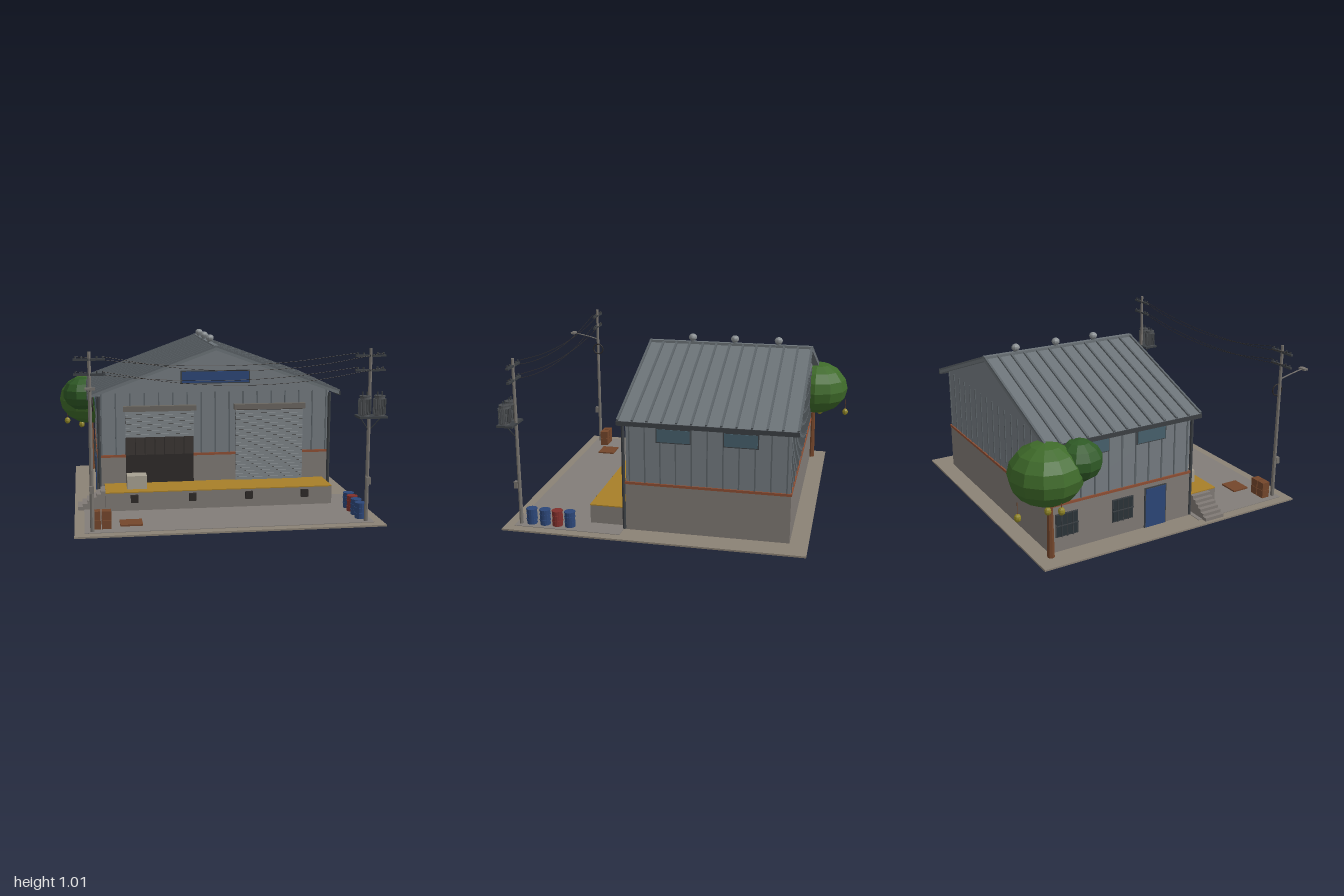
import * as THREE from 'three';

const mats = {};
const mat = (color) => (mats[color] ??= new THREE.MeshStandardMaterial({ color, flatShading: true }));
const C = {
  ground: 0x8b8275, apron: 0x827d78, plinth: 0x807a75, wall: 0x757c81, rib: 0x5c6368, roof: 0x6c7378,
  dark: 0x2e2a28, trim: 0x3c4044, band: 0x8f4f34, shutter: 0x80868a, header: 0x6a6660, glass: 0x47616d,
  blue: 0x2c4678, red: 0x80302c, yellow: 0xa87f28, wood: 0x74462b, beige: 0xa8a192, pole: 0x77736e, leaf: 0x3f6b2a,
};

// ridge position, half span of the roof and its slope
const RX = 0.045, HALF = 0.775, SLOPE = 0.365, ANG = Math.atan(SLOPE);
const ZF = 0.18, ZB = -0.743, XL = -0.672, XR = 0.762;

export function createModel() {
  const root = new THREE.Group();
  const group = (name, parent = root) => {
    const g = new THREE.Group();
    g.name = name;
    parent.add(g);
    return g;
  };
  const mesh = (name, geo, color, parent = root) => {
    const m = new THREE.Mesh(geo, mat(color));
    m.name = name;
    parent.add(m);
    return m;
  };
  // box given by its extents
  const box = (name, x0, x1, y0, y1, z0, z1, color, parent) => {
    const m = mesh(name, new THREE.BoxGeometry(x1 - x0, y1 - y0, z1 - z0), color, parent);
    m.position.set((x0 + x1) / 2, (y0 + y1) / 2, (z0 + z1) / 2);
    return m;
  };
  const cyl = (name, x, y0, y1, z, r, color, parent, sides = 12, rTop = r) => {
    const m = mesh(name, new THREE.CylinderGeometry(rTop, r, y1 - y0, sides), color, parent);
    m.position.set(x, (y0 + y1) / 2, z);
    return m;
  };
  const ball = (name, x, y, z, rx, ry, color, parent, w = 10, h = 8) => {
    const m = mesh(name, new THREE.SphereGeometry(1, w, h), color, parent);
    m.position.set(x, y, z);
    m.scale.set(rx, ry, rx);
    return m;
  };
  const tube = (name, pts, r, color, parent, seg = 12) =>
    mesh(name, new THREE.TubeGeometry(new THREE.CatmullRomCurve3(pts.map((p) => new THREE.Vector3(...p))), seg, r, 5), color, parent);
  const prism = (name, pts, z0, z1, color, parent) => {
    const shape = new THREE.Shape(pts.map((p) => new THREE.Vector2(...p)));
    const m = mesh(name, new THREE.ExtrudeGeometry(shape, { depth: z1 - z0, bevelEnabled: false }), color, parent);
    m.position.z = z0;
    return m;
  };

  // ground and yard
  box('ground', -0.82, 0.91, 0, 0.01, -0.85, 0.885, C.ground);
  box('yardSlab', -0.765, 0.855, 0.01, 0.013, 0.2, 0.83, C.apron);

  // walls
  const hall = group('hall');
  const roofY = (x) => 0.955 - Math.abs(x - RX) * SLOPE;
  const wallTop = (x) => roofY(x) - 0.02;
  box('plinth', XL - 0.004, XR + 0.004, 0.01, 0.29, ZB - 0.004, ZF + 0.004, C.plinth, hall);
  prism('cladding', [[XL, 0.28], [XR, 0.28], [XR, wallTop(XR)], [RX, wallTop(RX)], [XL, wallTop(XL)]], ZB, ZF, C.wall, hall);
  box('wallBand', XL - 0.008, XR + 0.008, 0.287, 0.302, ZB - 0.008, ZF + 0.008, C.band, hall);
  const ribs = group('wallRibs', hall);
  for (let i = 0; i <= 16; i++) {
    const x = XL + 0.02 + (i / 16) * (XR - XL - 0.04);
    box('frontRib', x - 0.004, x + 0.004, 0.302, 0.68, ZF, ZF + 0.005, C.rib, ribs);
    box('backRib', x - 0.004, x + 0.004, 0.302, 0.68, ZB - 0.005, ZB, C.rib, ribs);
  }
  for (let i = 0; i <= 10; i++) {
    const z = ZB + 0.02 + (i / 10) * (ZF - ZB - 0.04);
    box('sideRib', XR, XR + 0.005, 0.302, 0.67, z - 0.004, z + 0.004, C.rib, ribs);
    box('sideRib', XL - 0.005, XL, 0.302, 0.67, z - 0.004, z + 0.004, C.rib, ribs);
  }

  // roof
  const roof = group('roof');
  const Z0 = -0.785, Z1 = 0.215, eL = RX - HALF, eR = RX + HALF, eY = roofY(eR);
  prism('roofSheet', [[eL, eY - 0.02], [RX, 0.935], [eR, eY - 0.02], [eR, eY], [RX, 0.955], [eL, eY]], Z0, Z1, C.roof, roof);
  for (const s of [-1, 1]) {
    for (let i = 0; i <= 12; i++) {
      const r = mesh('roofRib', new THREE.BoxGeometry(HALF / Math.cos(ANG), 0.012, 0.012), C.rib, roof);
      r.position.set(RX + (s * HALF) / 2, (0.955 + eY) / 2 + 0.005, Z0 + 0.006 + (i / 12) * (Z1 - Z0 - 0.012));
      r.rotation.z = -s * ANG;
    }
    const x = RX + s * HALF;
    box('eaveTrim', x - 0.006, x + 0.006, eY - 0.025, eY, Z0, Z1, C.trim, roof);
  }
  box('ridgeCap', RX - 0.014, RX + 0.014, 0.945, 0.965, Z0, Z1, C.roof, roof);
  for (const z of [-0.58, -0.315, -0.055]) {
    cyl('ventNeck', RX, 0.95, 0.985, z, 0.014, C.roof, roof, 10);
    ball('ventHead', RX, 0.99, z, 0.025, 0.022, 0x8a8f92, roof);
  }

  // sign board with plain frame
  box('signFrame', -0.168, 0.258, 0.732, 0.812, ZF, 0.192, C.trim);
  box('signPanel', -0.162, 0.252, 0.738, 0.806, ZF, 0.196, C.blue);

  // loading doors
  const door = (name, x0, x1, shutterY) => {
    const g = group(name);
    box('doorOpening', x0, x1, 0.125, 0.57, ZF, 0.19, C.dark, g);
    for (let y = shutterY; y < 0.565; y += 0.02)
      box('shutterSlat', x0, x1, y, Math.min(y + 0.018, 0.57), ZF, 0.197, C.shutter, g);
    box('shutterHousing', x0 - 0.013, x1 + 0.013, 0.57, 0.603, ZF, 0.215, C.header, g);
    return g;
  };
  const open = door('openLoadingDoor', -0.507, -0.09, 0.41);
  for (let i = 0; i < 7; i++)
    box('curtainStrip', -0.505 + i * 0.0595, -0.451 + i * 0.0595, 0.3, 0.41, 0.188, 0.192, 0x3b3633, open);
  door('closedLoadingDoor', 0.172, 0.592, 0.125);

  // downpipes at the front corners
  for (const x of [XL + 0.005, XR - 0.003]) cyl('downpipe', x, 0.01, 0.665, 0.197, 0.01, C.trim, root, 8);

  // windows and side door
  const sideWindow = (x, z0, z1, y0, y1, color) => {
    const g = group('window');
    box('windowFrame', x - 0.01, x + 0.01, y0, y1, z0, z1, C.trim, g);
    box('windowPane', x - 0.013, x + 0.013, y0 + 0.006, y1 - 0.006, z0 + 0.006, z1 - 0.006, color, g);
    return g;
  };
  for (const x of [XL, XR])
    for (const z of [-0.19, -0.565]) sideWindow(x, z, z + 0.196, 0.545, 0.63, C.glass);
  for (const z of [-0.71, -0.35]) {
    const g = sideWindow(XL, z, z + 0.14, 0.1, 0.24, 0x2b3338);
    for (let i = 1; i < 4; i++)
      box('windowBar', XL - 0.018, XL, 0.1, 0.24, z + i * 0.035 - 0.002, z + i * 0.035 + 0.002, C.trim, g);
    box('windowCrossBar', XL - 0.018, XL, 0.168, 0.172, z, z + 0.14, C.trim, g);
  }
  box('sideDoorFrame', XL - 0.01, XL, 0.01, 0.262, -0.132, 0.017, C.trim);
  box('sideDoor', XL - 0.014, XL, 0.012, 0.255, -0.125, 0.01, C.blue);

  // loading dock, bumpers, stairs
  const dock = group('loadingDock');
  box('dockBody', -0.638, 0.725, 0.01, 0.12, 0.18, 0.41, C.plinth, dock);
  box('dockSurface', -0.638, 0.725, 0.12, 0.126, 0.18, 0.412, C.yellow, dock);
  for (const x of [-0.47, -0.125, 0.215, 0.555])
    box('dockBumper', x - 0.022, x + 0.022, 0.063, 0.108, 0.41, 0.427, C.dark, dock);
  for (let i = 0; i < 6; i++)
    box('step', -0.8 + i * 0.027, -0.773 + i * 0.027, 0.01, 0.03 + i * 0.018, 0.225, 0.355, C.plinth, dock);
  box('dockCrate', -0.508, -0.39, 0.126, 0.205, 0.255, 0.348, C.beige);

  // yard clutter
  box('pallet', -0.568, -0.442, 0.013, 0.022, 0.62, 0.73, C.wood);
  for (const x of [-0.728, -0.67])
    for (const y of [0.013, 0.064]) box('crate', x, x + 0.052, y, y + 0.049, 0.715, 0.767, C.wood);
  [[0.51, C.blue], [0.585, C.red], [0.66, C.blue], [0.74, C.blue]].forEach(([z, color]) => {
    const g = group('barrel');
    cyl('barrelBody', 0.8, 0.012, 0.104, z, 0.03, color, g, 14);
    for (const y of [0.04, 0.072, 0.1]) cyl('barrelHoop', 0.8, y, y + 0.005, z, 0.0325, color, g, 14);
  });

  // utility poles
  const PZ = 0.8, arms = [0.95, 0.87];
  const pole = (name, x) => {
    const g = group(name);
    cyl('poleShaft', x, 0, 0.992, PZ, 0.012, C.pole, g, 8, 0.009);
    for (const y of arms) {
      box('crossarm', x - 0.085, x + 0.085, y - 0.006, y + 0.006, PZ - 0.008, PZ + 0.008, C.trim, g);
      for (const d of [-0.072, -0.04, 0.04, 0.072]) cyl('insulator', x + d, y + 0.005, y + 0.018, PZ, 0.005, C.trim, g, 6);
    }
    box('meterBox', x - 0.013, x + 0.013, 0.23, 0.27, PZ + 0.008, PZ + 0.03, C.pole, g);
    return g;
  };
  const left = pole('lampPole', -0.722);
  tube('lampArm', [[-0.722, 0.78, 0.8], [-0.722, 0.8, 0.88], [-0.722, 0.818, 0.97]], 0.004, C.pole, left);
  box('lampHead', -0.748, -0.696, 0.812, 0.824, 0.965, 0.995, C.pole, left);
  const coil = mesh('cableCoil', new THREE.TorusGeometry(0.035, 0.004, 6, 20), C.dark, left);
  coil.position.set(-0.708, 0.71, 0.795);
  coil.rotation.y = Math.PI / 2;

  const right = pole('transformerPole', 0.815);
  box('transformerShelf', 0.735, 0.895, 0.612, 0.624, 0.79, 0.885, C.trim, right);
  for (const x of [0.773, 0.857]) {
    const g = group('transformer', right);
    cyl('tank', x, 0.624, 0.728, 0.847, 0.028, 0x55585b, g, 14);
    cyl('tankLid', x, 0.728, 0.736, 0.847, 0.031, 0x484b4e, g, 14);
    for (let i = 0; i < 10; i++) {
      const fin = mesh('coolingFin', new THREE.BoxGeometry(0.072, 0.085, 0.004), 0x484b4e, g);
      fin.position.set(x, 0.675, 0.847);
      fin.rotation.y = (i * Math.PI) / 10;
    }
    for (const d of [-0.013, 0.013]) cyl('bushing', x + d, 0.735, 0.758, 0.847, 0.004, C.trim, g, 6);
  }
  for (const s of [-1, 1])
    tube('shelfBrace', [[0.815, 0.53, 0.8], [0.815 + s * 0.06, 0.612, 0.83]], 0.003, C.trim, right, 1);

  // sagging wires between the poles
  for (const y of arms)
    for (const d of [-0.072, 0.072]) {
      const sag = d < 0 ? 0.06 : 0.085;
      const pts = [0, 0.25, 0.5, 0.75, 1].map((t) => [-0.722 + d + t * 1.537, y + 0.015 - 4 * sag * t * (1 - t), PZ + d * 0.15]);
      tube('wire', pts, 0.0015, C.dark, root, 24);
    }

  // tree with fruit
  const tree = group('tree');
  cyl('trunk', -0.705, 0.005, 0.42, -0.755, 0.022, C.wood, tree, 8, 0.016);
  ball('largeCrown', -0.71, 0.515, -0.775, 0.21, 0.175, C.leaf, tree, 12, 8);
  ball('smallCrown', -0.763, 0.575, -0.605, 0.13, 0.115, 0x2f5a26, tree, 10, 7);
  for (const [x, y, z] of [[-0.77, 0.33, -0.975], [-0.87, 0.36, -0.77], [-0.73, 0.42, -0.91], [-0.77, 0.325, -0.8]]) {
    ball('fruit', x, y, z, 0.02, 0.023, 0x8f8426, tree, 8, 6);
    cyl('fruitStalk', x, y + 0.015, y + 0.09, z, 0.002, C.wood, tree, 5);
  }
  return root;
}
